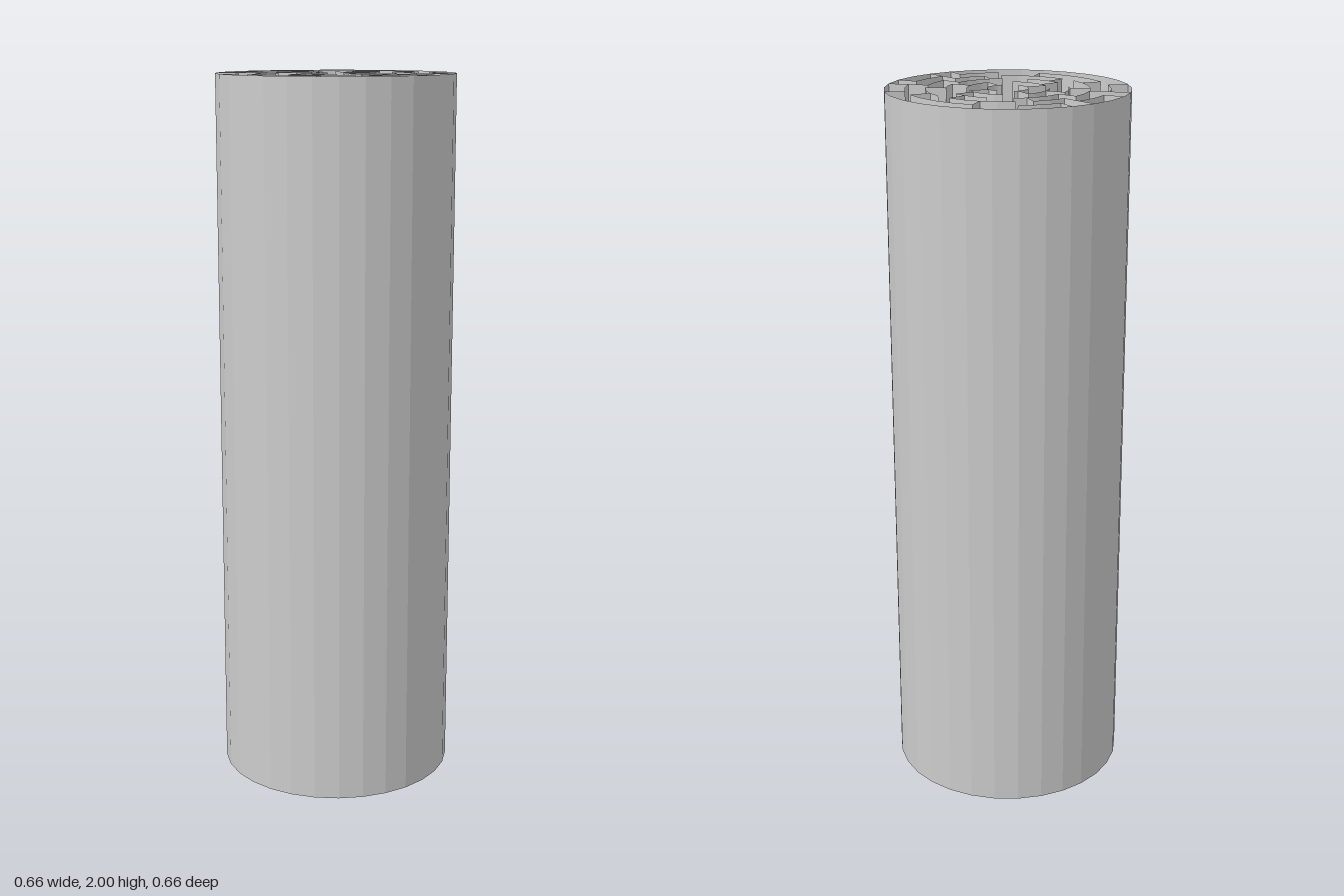
import * as THREE from 'three';

const HEIGHT = 2, RADIUS = 0.33, SIDES = 30, RINGS = 6;
const STEP = (Math.PI * 2) / SIDES, START = STEP / 2;
const GAP = RADIUS / RINGS;

export function createModel() {
  const model = new THREE.Group();
  const material = new THREE.MeshStandardMaterial({
    color: 0xcccccc, flatShading: true, side: THREE.DoubleSide,
  });

  function add(geometry, name, parent) {
    const mesh = new THREE.Mesh(geometry, material);
    mesh.name = name;
    mesh.position.y = HEIGHT / 2;
    parent.add(mesh);
    return mesh;
  }

  // Curved wall on a ring, from one corner of the polygon to another
  function arcWall(ring, from, to, name, parent) {
    const r = ring * GAP;
    add(new THREE.CylinderGeometry(r, r, HEIGHT, to - from, 1, true,
      START + from * STEP, (to - from) * STEP), name, parent);
  }

  // Straight wall joining a ring to the next one out
  function radialWall(ring, corner, parent) {
    const angle = START + corner * STEP, r = (ring + 0.5) * GAP;
    const wall = add(new THREE.PlaneGeometry(GAP, HEIGHT), 'radialWall', parent);
    wall.position.set(Math.sin(angle) * r, HEIGHT / 2, Math.cos(angle) * r);
    wall.rotation.y = angle - Math.PI / 2;
  }

  // Open outer tube
  arcWall(RINGS, 0, SIDES, 'outerTube', model);

  // Broken inner rings and their joining walls, for half a turn
  const arcs = {
    1: [[1, 12]],
    2: [[2, 7], [9, 14]],
    3: [[0, 4], [5, 8], [10, 13]],
    4: [[1, 3], [4, 6], [7, 10], [11, 15]],
    5: [[0, 2], [3, 5], [6, 8], [9, 13]],
  };
  const radials = {
    1: [2, 9],
    2: [5, 10],
    3: [1, 4, 7, 11],
    4: [3, 6, 9, 13],
    5: [2, 3, 5, 6, 8],
  };

  // The labyrinth repeats after half a turn
  for (let half = 0; half < 2; half++) {
    const labyrinth = new THREE.Group();
    labyrinth.name = 'labyrinthHalf';
    labyrinth.rotation.y = half * Math.PI;
    for (let ring = 1; ring < RINGS; ring++) {
      for (const [from, to] of arcs[ring]) arcWall(ring, from, to, 'innerRingWall', labyrinth);
      for (const corner of radials[ring]) radialWall(ring, corner, labyrinth);
    }
    model.add(labyrinth);
  }
  return model;
}
